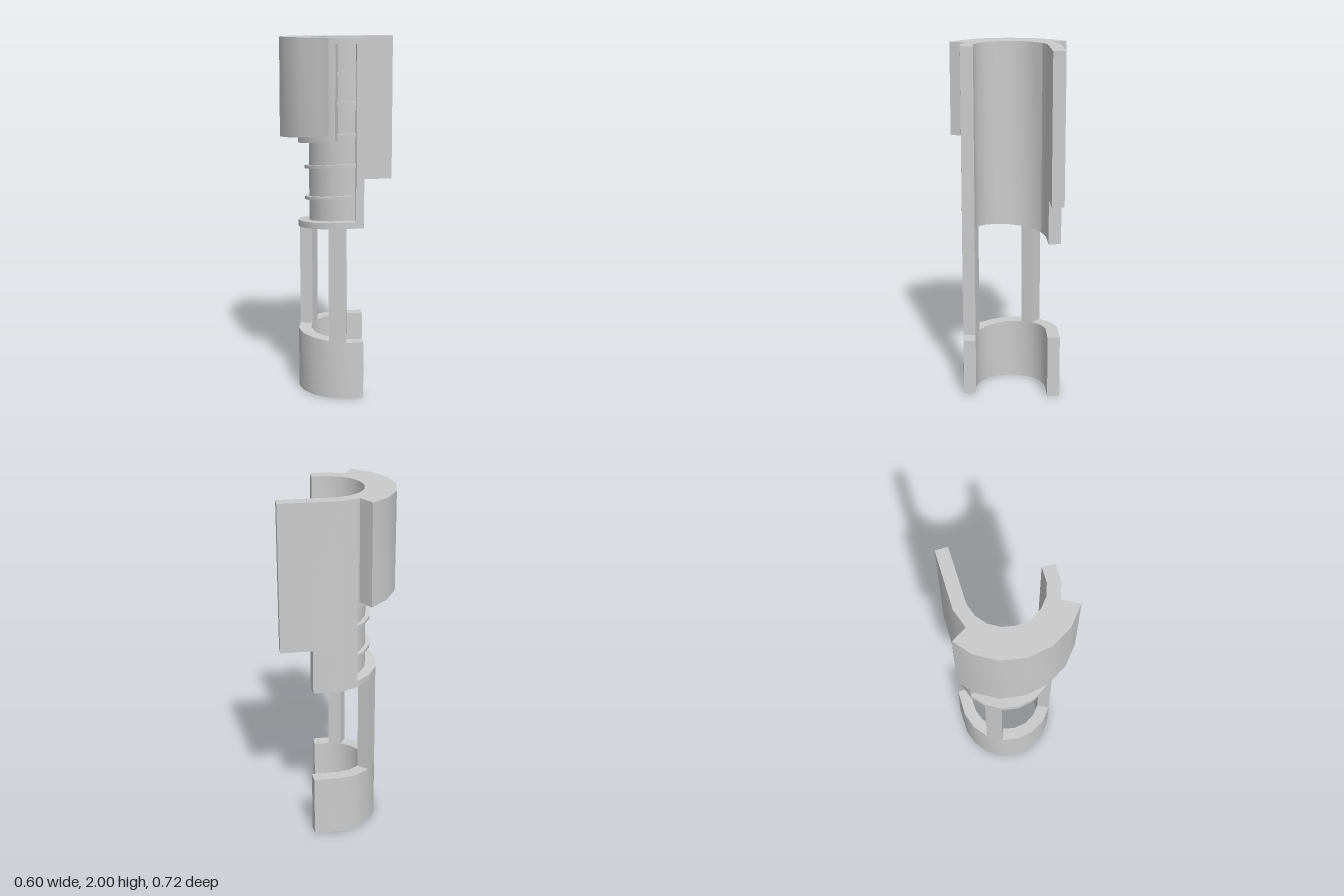
import * as THREE from 'three';
import { toCreasedNormals } from 'three/addons/utils/BufferGeometryUtils.js';

// Plan of the C-shaped wall: stations 0..8 lie on an arc, -1 and 9 end the straight tails
const CX = 0.08, CZ = -0.009;
const R_IN = 0.205, R_CORE = 0.215, R_THREAD = 0.24, R_OUT = 0.277, R_COLLAR = 0.378;
const FRONT_END = -1, BACK_END = 9, BACK_CUT = 8.47;
const SLOT_A = -0.55, SLOT_B = 0.63, BACK_START = 7;

const tail = (inner, outer, r) => {
  const t = (r - R_IN) / (R_OUT - R_IN);
  return [inner[0] + (outer[0] - inner[0]) * t, inner[1] + (outer[1] - inner[1]) * t];
};

function station(i, r) {
  if (i < 0) return tail([0.195, 0.168], [0.215, 0.235], r);
  if (i > 8) return tail([0.298, -0.293], [0.278, -0.359], r);
  const a = THREE.MathUtils.degToRad(-8.7 + 20.4 * i);
  return [CX - r * Math.sin(a), CZ + r * Math.cos(a)];
}

function planPoint(s, r) {
  const i = Math.min(Math.floor(s), BACK_END - 1), f = s - i;
  const a = station(i, r), b = station(i + 1, r);
  return [a[0] + (b[0] - a[0]) * f, a[1] + (b[1] - a[1]) * f];
}

// Height that falls (or rises) steadily along the wall, like a helix
const slope = (y, k) => (s) => y + k * THREE.MathUtils.clamp(s, 0, 8);
const level = (y) => () => y;

// Closed solid following the plan from s0 to s1, between two radii and two heights
function band(s0, s1, r0, r1, bottom, top) {
  const stops = [s0];
  for (let i = Math.floor(s0) + 1; i < s1; i++) stops.push(i);
  stops.push(s1);
  const rings = stops.map((s) => {
    const [ax, az] = planPoint(s, r0), [bx, bz] = planPoint(s, r1);
    const lo = bottom(s), hi = top(s);
    return [[ax, lo, az], [bx, lo, bz], [bx, hi, bz], [ax, hi, az]];
  });
  const pos = [];
  const quad = (a, b, c, d) => pos.push(...a, ...b, ...c, ...a, ...c, ...d);
  for (let i = 0; i < rings.length - 1; i++) {
    const p = rings[i], q = rings[i + 1];
    for (let k = 0; k < 4; k++) {
      const n = (k + 1) % 4;
      quad(p[k], p[n], q[n], q[k]);
    }
  }
  const first = rings[0], last = rings[rings.length - 1];
  quad(first[3], first[2], first[1], first[0]);
  quad(...last);
  const geo = new THREE.BufferGeometry();
  geo.setAttribute('position', new THREE.Float32BufferAttribute(pos, 3));
  geo.computeVertexNormals();
  return toCreasedNormals(geo, 0.6);
}

export function createModel() {
  const group = new THREE.Group();
  const material = new THREE.MeshStandardMaterial({ color: 0xcccccc });
  const add = (name, ...args) => {
    const mesh = new THREE.Mesh(band(...args), material);
    mesh.name = name;
    group.add(mesh);
  };

  const lowerTop = slope(0.325, 0.0045);
  const upperBottom = slope(0.97, -0.007);
  const flangeTop = slope(1.005, -0.007);
  const shoulderBottom = slope(1.45, -0.009);
  const roof = level(2);

  // Lower ring and the two posts that carry the upper sleeve
  add('lowerRing', FRONT_END, BACK_CUT, R_IN, R_OUT, level(0), lowerTop);
  add('frontPost', 0, 1, R_IN, R_OUT, lowerTop, upperBottom);
  add('sidePost', 5, 6, R_IN, R_OUT, lowerTop, upperBottom);

  // Upper sleeve: thin core with raised borders around the recess
  add('core', FRONT_END, BACK_START, R_IN, R_CORE, upperBottom, roof);
  add('frontEdgeStrip', FRONT_END, SLOT_A, R_CORE, R_OUT, upperBottom, roof);
  add('flange', SLOT_A, BACK_START, R_CORE, R_OUT, upperBottom, flangeTop);
  add('slotTopBar', SLOT_A, SLOT_B, R_CORE, R_OUT, level(1.965), roof);
  add('shoulder', SLOT_B, BACK_START, R_CORE, R_OUT, shoulderBottom, roof);
  add('collar', 1, 6.87, R_OUT, R_COLLAR, slope(1.487, -0.009), roof);

  // Back wall, stepped to its full width in the upper part
  add('backWallUpper', BACK_START, BACK_END, R_IN, R_OUT, level(1.17), roof);
  add('backWallLower', BACK_START, BACK_CUT, R_IN, R_OUT, upperBottom, level(1.17));

  // Helical threads: full length in the open recess, short rungs in the slot
  [1.135, 1.31, 1.475, 1.65, 1.81].forEach((y, i) => {
    const end = i < 2 ? BACK_START : SLOT_B;
    add('thread', SLOT_A, end, R_CORE, R_THREAD, slope(y - 0.009, -0.008), slope(y + 0.009, -0.008));
  });

  return group;
}
